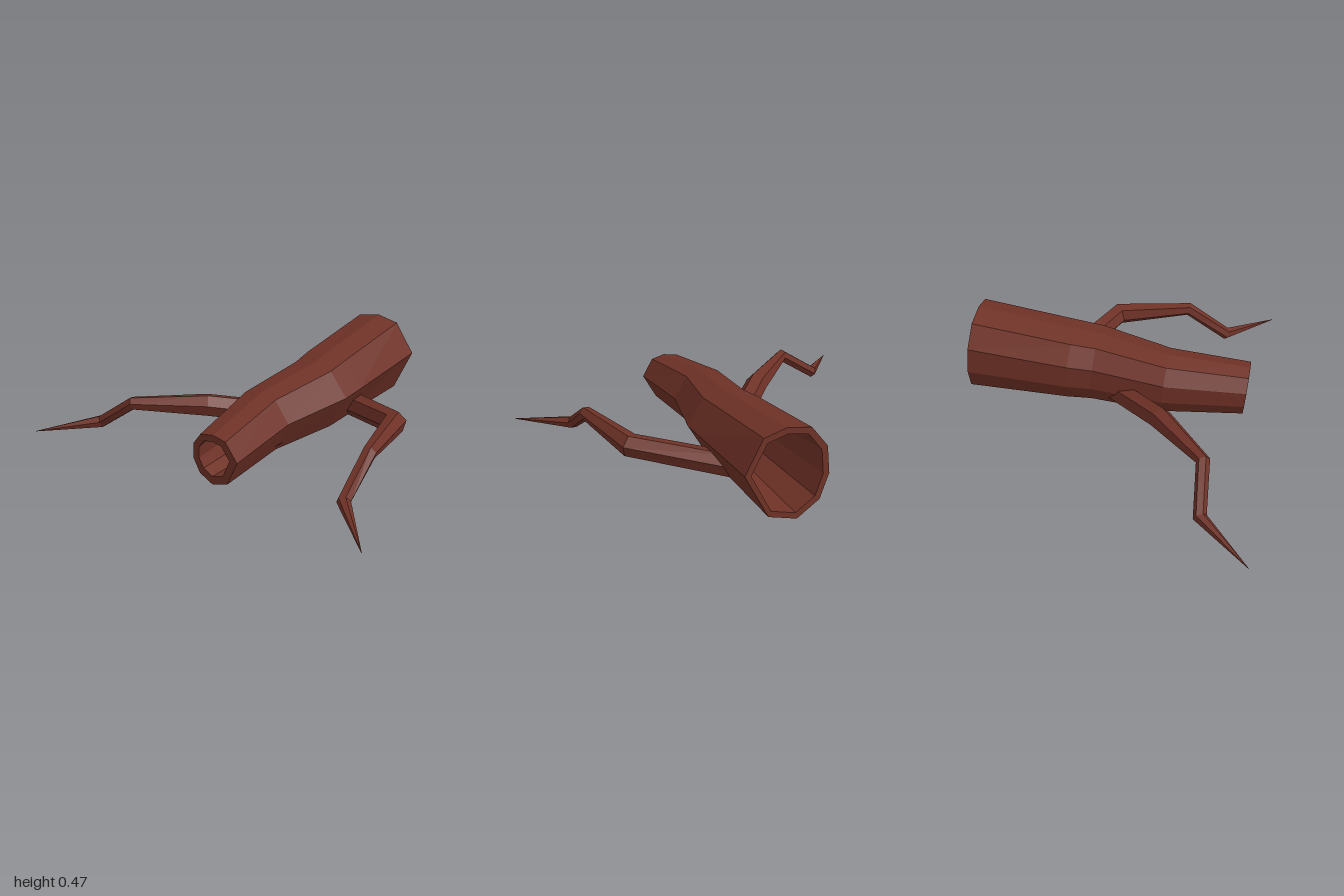
import * as THREE from 'three';

const bark = new THREE.MeshStandardMaterial({ color: 0x6e3126, flatShading: true });
bark.name = 'redBrownBark';

// Skin a list of equal-sized rings with flat quads
function loft(rings, closed = false) {
  const pos = [];
  const tri = (...pts) => pts.forEach(p => pos.push(p.x, p.y, p.z));
  const last = closed ? rings.length : rings.length - 1;
  for (let r = 0; r < last; r++) {
    const a = rings[r], b = rings[(r + 1) % rings.length];
    for (let i = 0; i < a.length; i++) {
      const j = (i + 1) % a.length;
      tri(a[i], b[i], b[j]);
      tri(a[i], b[j], a[j]);
    }
  }
  const geometry = new THREE.BufferGeometry();
  geometry.setAttribute('position', new THREE.Float32BufferAttribute(pos, 3));
  geometry.computeVertexNormals();
  return geometry;
}

// Nine-sided trunk outline as fractions of depth (z) and height (y)
const outline = [
  [0.50, 1], [0.21, 0.945], [0.02, 0.71], [0, 0.41], [0.12, 0.15],
  [0.40, 0], [0.74, 0.105], [1, 0.60], [0.77, 0.945],
];

// One slightly leaning trunk section
function trunkRing([x, z0, z1, y0, y1]) {
  return outline.map(([w, h]) => {
    const y = y0 + (y1 - y0) * h;
    return new THREE.Vector3(x - 0.065 * y, y, z0 + (z1 - z0) * w);
  });
}

// Six-sided branch through [x, y, z, radius] points, ending in a sharp tip
function branchGeometry(points) {
  const centres = points.map(p => new THREE.Vector3(p[0], p[1], p[2]));
  const up = new THREE.Vector3(0, 1, 0);
  const rings = centres.map((c, k) => {
    const dir = new THREE.Vector3();
    if (k > 0) dir.add(c.clone().sub(centres[k - 1]).normalize());
    if (k < centres.length - 1) dir.add(centres[k + 1].clone().sub(c).normalize());
    dir.normalize();
    const side = up.clone().cross(dir).normalize();
    const top = dir.clone().cross(side);
    return Array.from({ length: 6 }, (_, i) => {
      const t = i * Math.PI / 3 + 0.3;
      return c.clone()
        .addScaledVector(top, points[k][3] * Math.cos(t))
        .addScaledVector(side, points[k][3] * Math.sin(t));
    });
  });
  return loft(rings);
}

export function createModel() {
  const group = new THREE.Group();
  group.name = 'hollowLog';
  const add = (geometry, name) => {
    const mesh = new THREE.Mesh(geometry, bark);
    mesh.name = name;
    group.add(mesh);
  };

  // Hollow trunk: outer bark, wide rim, inner bore, narrow rim
  const sections = [
    [-0.675, 0.005, 0.27, 0, 0.27],
    [-0.25, -0.07, 0.255, 0, 0.327],
    [0.13, -0.05, 0.345, 0, 0.378],
    [0.26, -0.065, 0.35, 0, 0.396],
    [0.79, -0.072, 0.362, 0, 0.467],
    [0.79, -0.04, 0.33, 0.032, 0.435],
    [-0.675, 0.04, 0.225, 0.045, 0.235],
  ];
  add(loft(sections.map(trunkRing), true), 'trunk');

  // Front branch
  add(branchGeometry([
    [0.36, 0.09, 0.20, 0.065],
    [0.09, 0.18, 0.645, 0.06],
    [-0.30, 0.20, 0.735, 0.036],
    [-0.525, 0.05, 0.745, 0.034],
    [-0.785, 0.012, 1.0, 0.001],
  ]), 'frontBranch');

  // Back branch
  add(branchGeometry([
    [0.02, 0.10, 0.05, 0.062],
    [-0.28, 0.178, -0.25, 0.06],
    [-0.525, 0.198, -0.54, 0.035],
    [-0.543, 0.045, -0.758, 0.034],
    [-0.79, 0.012, -1.0, 0.001],
  ]), 'backBranch');

  return group;
}
